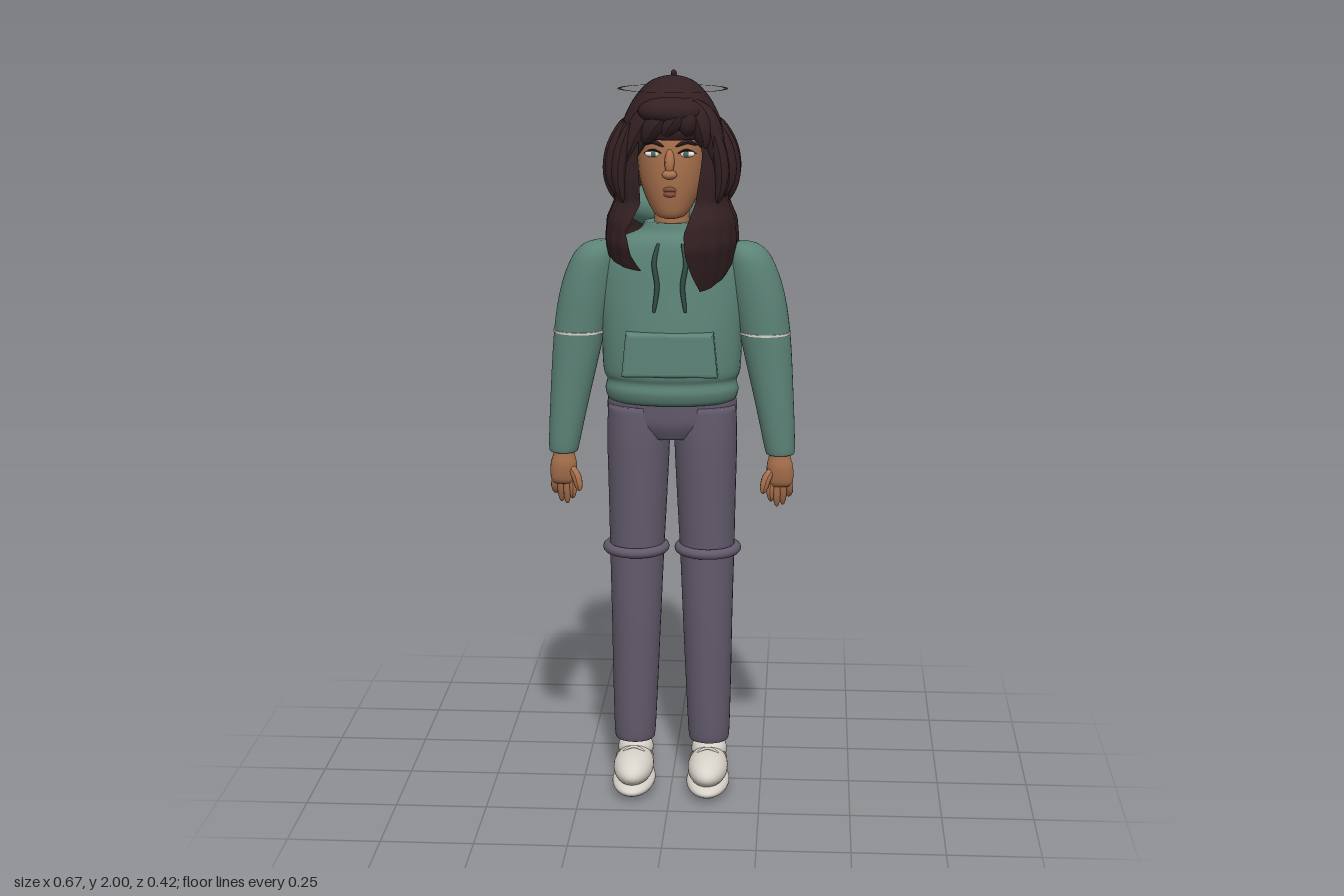
import * as THREE from 'three';

const mat = (name, color, side = THREE.FrontSide) => {
  const m = new THREE.MeshStandardMaterial({ color, side });
  m.name = name;
  return m;
};

// Catmull-Rom sample of a table of rows, t in 0..1
function sample(rows, t) {
  const f = Math.min(t, 1) * (rows.length - 1), i = Math.min(Math.floor(f), rows.length - 2), u = f - i;
  const at = k => rows[Math.max(0, Math.min(rows.length - 1, k))];
  return rows[i].map((_, c) => {
    const a = at(i - 1)[c], b = at(i)[c], d = at(i + 1)[c], e = at(i + 2)[c];
    return b + 0.5 * u * (d - a + u * (2 * a - 5 * b + 4 * d - e + u * (3 * (b - d) + e - a)));
  });
}

// Linear lookup of a table keyed by its first column (descending)
function lookup(rows, y) {
  let i = 0;
  while (i < rows.length - 2 && y < rows[i + 1][0]) i++;
  const u = THREE.MathUtils.clamp((rows[i][0] - y) / (rows[i][0] - rows[i + 1][0]), 0, 1);
  return rows[i].map((v, c) => v + (rows[i + 1][c] - v) * u);
}

function gridGeometry(position, index) {
  const g = new THREE.BufferGeometry();
  g.setAttribute('position', new THREE.Float32BufferAttribute(position, 3));
  g.setIndex(index);
  g.computeVertexNormals();
  return g;
}

// Closed body from elliptical rings [y, cx, cz, rx, rz], listed upwards
function loft(rows, n = 36) {
  const p = [], idx = [], m = (rows.length - 1) * 4;
  for (let i = 0; i <= m; i++) {
    const [y, cx, cz, rx, rz] = sample(rows, i / m);
    for (let j = 0; j < n; j++) {
      const a = j / n * Math.PI * 2;
      p.push(cx + rx * Math.cos(a), y, cz + rz * Math.sin(a));
      const b = i * n + j, c = i * n + (j + 1) % n;
      if (i < m) idx.push(b, b + n, c, c, b + n, c + n);
    }
  }
  const first = rows[0], last = rows[rows.length - 1], k = p.length / 3;
  p.push(first[1], first[0], first[2], last[1], last[0], last[2]);
  for (let j = 0; j < n; j++) {
    const q = (j + 1) % n;
    idx.push(k, j, q, k + 1, m * n + q, m * n + j);
  }
  return gridGeometry(p, idx);
}

// Tube along points whose radius swells and tapers to rounded ends
function lock(points, radius, power = 0.5) {
  const curve = new THREE.CatmullRomCurve3(points.map(q => new THREE.Vector3(...q)));
  const seg = 20, rad = 10, g = new THREE.TubeGeometry(curve, seg, radius, rad);
  const pos = g.attributes.position, v = new THREE.Vector3();
  for (let i = 0; i <= seg; i++) {
    const c = curve.getPointAt(i / seg), s = Math.max(0.02, Math.sin(Math.PI * i / seg)) ** power;
    for (let j = 0; j <= rad; j++) {
      const k = i * (rad + 1) + j;
      v.fromBufferAttribute(pos, k).sub(c).multiplyScalar(s).add(c);
      pos.setXYZ(k, v.x, v.y, v.z);
    }
  }
  g.computeVertexNormals();
  return g;
}

// Long hair wrapped around the head and shoulders, open at the front
function curtain() {
  const profile = [ // y, half width, front z, back z
    [1.90, 0.115, 0.14, -0.095], [1.82, 0.145, 0.155, -0.115], [1.72, 0.163, 0.165, -0.125],
    [1.66, 0.153, 0.17, -0.135], [1.61, 0.174, 0.21, -0.185], [1.55, 0.179, 0.222, -0.205],
    [1.48, 0.166, 0.2, -0.202], [1.39, 0.135, 0.17, -0.203]];
  const edge = [ // y, opening on the left, opening on the right
    [1.90, 0.08, 0.08], [1.78, 0.085, 0.082], [1.66, 0.068, 0.075], [1.59, 0.04, 0.115],
    [1.53, 0.045, 0.1], [1.48, 0.06, 0.065], [1.42, 0.085, 0.06]];
  const n = 96, m = 40, p = [], idx = [];
  for (let i = 0; i <= m; i++) for (let j = 0; j <= n; j++) {
    const u = j / n, back = Math.sin(Math.PI * u) ** 4;
    const end = THREE.MathUtils.lerp(1.43, 1.49, u);
    const sides = 0.05 * Math.sin(Math.PI * 2 * u) ** 2;
    const bottom = THREE.MathUtils.lerp(end, 1.43, back) + sides + 0.018 * back * Math.cos(u * 50);
    const y = 1.9 + (bottom - 1.9) * i / m;
    const [, rx, zf, zb] = lookup(profile, y), [, l, r] = lookup(edge, y);
    const a = THREE.MathUtils.lerp(Math.asin(l / rx), Math.PI * 2 - Math.asin(r / rx), u);
    const wave = 1 + 0.008 * Math.cos(a * 24);
    const c = Math.cos(a);
    p.push(rx * wave * Math.sin(a), y, 0.02 + (c > 0 ? zf - 0.02 : 0.02 - zb) * c * wave);
    const k = i * (n + 1) + j;
    if (i < m && j < n) idx.push(k, k + n + 1, k + 1, k + 1, k + n + 1, k + n + 2);
  }
  return gridGeometry(p, idx);
}

export function createModel() {
  const model = new THREE.Group();
  const hair = mat('dark brown hair', 0x332022, THREE.DoubleSide);
  const skin = mat('warm skin', 0xa9714d), lips = mat('lips', 0x874f3d);
  const knit = mat('green hoodie', 0x5c8377), cord = mat('dark green cord', 0x304a45);
  const cloth = mat('purple grey trousers', 0x625a6c), shoe = mat('off white shoe', 0xd8d3ca);
  const white = mat('eye white', 0xe8e8e2), iris = mat('grey green iris', 0x4e6b62);

  const add = (name, geometry, material, pos = [0, 0, 0], scale = [1, 1, 1]) => {
    const mesh = new THREE.Mesh(geometry, material);
    mesh.name = name;
    mesh.position.set(...pos);
    mesh.scale.set(...scale);
    model.add(mesh);
    return mesh;
  };
  const ball = (name, material, pos, radii) => add(name, new THREE.SphereGeometry(1, 32, 20), material, pos, radii);

  // Hoodie
  add('hoodieBody', loft([[1.11, 0, 0.03, 0.16, 0.09], [1.12, 0, 0.03, 0.175, 0.1], [1.145, 0, 0.032, 0.181, 0.106],
    [1.17, 0, 0.032, 0.176, 0.102], [1.2, 0, 0.033, 0.186, 0.11], [1.3, 0, 0.03, 0.191, 0.112],
    [1.42, 0, 0.022, 0.2, 0.106], [1.5, 0, 0.022, 0.188, 0.096], [1.55, 0, 0.022, 0.145, 0.085],
    [1.575, 0, 0.022, 0.09, 0.068], [1.6, 0, 0.025, 0.072, 0.058]]), knit);
  ball('hood', knit, [0, 1.625, -0.1], [0.14, 0.068, 0.093]);
  const pocket = new THREE.Shape();
  pocket.moveTo(-0.118, 1.205).lineTo(0.118, 1.205).lineTo(0.108, 1.305).lineTo(-0.108, 1.305).closePath();
  add('pocket', new THREE.ExtrudeGeometry(pocket, { depth: 0.05, bevelSize: 0.01, bevelThickness: 0.01, bevelSegments: 4 }),
    knit, [0, 0, 0.097]);
  for (const s of [-1, 1]) {
    add('drawstring', lock([[s * 0.032, 1.55, 0.105], [s * 0.042, 1.5, 0.123], [s * 0.034, 1.44, 0.13],
      [s * 0.042, 1.37, 0.138]], 0.007, 0.2), cord);
  }

  // Trousers
  add('hips', loft([[1.01, 0, 0.02, 0.1, 0.07], [1.05, 0, 0.02, 0.165, 0.088], [1.1, 0, 0.02, 0.177, 0.092], [1.15, 0, 0.025, 0.165, 0.09]]), cloth);

  for (const s of [-1, 1]) {
    add('trouserLeg', loft([[0.135, s * 0.104, 0.025, 0.05, 0.048], [0.15, s * 0.104, 0.025, 0.057, 0.056],
      [0.3, s * 0.102, 0.025, 0.063, 0.063], [0.5, s * 0.099, 0.025, 0.069, 0.07], [0.68, s * 0.097, 0.02, 0.075, 0.076],
      [0.85, s * 0.094, 0.02, 0.081, 0.082], [1, s * 0.092, 0.02, 0.086, 0.088], [1.1, s * 0.09, 0.02, 0.085, 0.085]]), cloth);
    add('kneeRing', new THREE.TorusGeometry(0.078, 0.014, 12, 40).rotateX(Math.PI / 2), cloth, [s * 0.099, 0.692, 0.025]);

    // Shoes with a bare ankle
    ball('shoeSole', shoe, [s * 0.104, 0.028, 0.077], [0.06, 0.028, 0.128]);
    ball('shoeUpper', shoe, [s * 0.104, 0.07, 0.085], [0.056, 0.045, 0.115]);
    ball('shoeHeel', shoe, [s * 0.104, 0.093, 0.005], [0.05, 0.045, 0.052]);
    ball('ankle', skin, [s * 0.104, 0.083, 0.045], [0.053, 0.012, 0.032]).rotation.x = 0.4;
    add('shoeLace', new THREE.TorusGeometry(0.034, 0.004, 8, 20, Math.PI), shoe, [s * 0.104, 0.086, 0.08]);

    // Sleeves
    add('sleeve', loft([[0.968, s * 0.295, 0.045, 0.035, 0.035], [0.98, s * 0.295, 0.045, 0.041, 0.041],
      [1.1, s * 0.28, 0.04, 0.052, 0.05], [1.3, s * 0.251, 0.03, 0.069, 0.064], [1.42, s * 0.229, 0.029, 0.071, 0.068],
      [1.5, s * 0.21, 0.028, 0.06, 0.064], [1.535, s * 0.197, 0.028, 0.042, 0.045], [1.547, s * 0.19, 0.028, 0.015, 0.018]]), knit);
    add('elbowTrim', new THREE.CylinderGeometry(0.071, 0.071, 0.006, 36), shoe, [s * 0.251, 1.3, 0.03], [1, 1, 0.94]);

    // Hands
    add('palm', loft([[0.875, s * 0.297, 0.046, 0.026, 0.014], [0.89, s * 0.297, 0.048, 0.035, 0.022],
      [0.93, s * 0.296, 0.048, 0.036, 0.029], [0.96, s * 0.295, 0.046, 0.029, 0.028], [0.98, s * 0.295, 0.045, 0.028, 0.028]], 20), skin);
    for (let i = 0; i < 4; i++) {
      const x = s * (0.273 + i * 0.0155), low = [0.832, 0.815, 0.818, 0.84][i];
      add('finger', lock([[x, 0.9, 0.05], [x + s * (i - 1.5) * 0.002, 0.86, 0.052 - i * 0.006], [x, low, 0.048 - i * 0.01]], 0.0105, 0.35), skin);
    }
    add('thumb', lock([[s * 0.28, 0.93, 0.055], [s * 0.26, 0.9, 0.068], [s * 0.25, 0.86, 0.075]], 0.013, 0.35), skin);

    // Eyes, brows, side locks and face-framing strands
    ball('eye', white, [s * 0.043, 1.79, 0.123], [0.023, 0.009, 0.008]);
    ball('iris', iris, [s * 0.043, 1.79, 0.127], [0.008, 0.0085, 0.006]);
    add('upperLid', lock([[s * 0.017, 1.79, 0.13], [s * 0.043, 1.801, 0.13], [s * 0.07, 1.79, 0.114]], 0.003), hair);
    add('brow', lock([[s * 0.015, 1.81, 0.133], [s * 0.045, 1.822, 0.127], [s * 0.072, 1.812, 0.11]], 0.006), hair);
    for (let i = 0; i < 6; i++) {
      const z = 0.115 - i * 0.037, x = s * 0.163 * Math.sqrt(1 - ((z - 0.02) / 0.165) ** 2);
      add('sideLock', lock([[x * 0.8, 1.87, z], [x * 0.98, 1.79, z], [x * 1.02, 1.72, z], [x * 0.94, 1.66 + (i % 2) * 0.015, z]], 0.02), hair);
    }
  }

  // Neck, head and face
  add('neck', new THREE.CylinderGeometry(0.043, 0.05, 0.14, 28), skin, [0, 1.62, 0.03]);
  add('head', loft([[1.615, 0, 0.075, 0.02, 0.025], [1.625, 0, 0.07, 0.042, 0.048], [1.66, 0, 0.05, 0.065, 0.078],
    [1.71, 0, 0.035, 0.084, 0.1], [1.77, 0, 0.028, 0.092, 0.108], [1.84, 0, 0.02, 0.095, 0.108], [1.9, 0, 0.02, 0.07, 0.08]]), skin);
  add('noseBridge', lock([[0, 1.805, 0.128], [0, 1.765, 0.142], [0, 1.735, 0.145]], 0.013), skin);
  ball('noseTip', skin, [0, 1.738, 0.145], [0.02, 0.013, 0.017]);
  add('upperLip', lock([[-0.03, 1.692, 0.115], [0, 1.698, 0.133], [0.03, 1.692, 0.115]], 0.007), lips);
  add('lowerLip', lock([[-0.025, 1.689, 0.115], [0, 1.684, 0.131], [0.025, 1.689, 0.115]], 0.008), lips);

  // Hair
  add('hairCap', loft([[1.828, 0, 0.02, 0.128, 0.126], [1.85, 0, 0.02, 0.135, 0.133], [1.89, 0, 0.02, 0.121, 0.128],
    [1.93, 0, 0.02, 0.098, 0.111], [1.965, 0, 0.02, 0.066, 0.075], [1.98, 0, 0.018, 0.035, 0.04], [1.986, 0, 0.015, 0.006, 0.006]]), hair);
  add('longHair', curtain(), hair);
  ball('crownTip', hair, [0.004, 1.99, 0.015], [0.008, 0.01, 0.008]);
  ball('fringeRoll', hair, [0, 1.9, 0.115], [0.085, 0.038, 0.055]);
  const fringe = [[0.06, -0.02, 1.835, 0.032], [0.05, -0.07, 1.82, 0.036], [0.04, -0.125, 1.75, 0.036],
    [0.03, 0.05, 1.835, 0.032], [0.04, 0.095, 1.8, 0.03], [0.05, 0.125, 1.74, 0.032]];
  for (const [x0, x1, y1, r] of fringe) {
    const z = 0.15 - 2.5 * x1 * x1;
    add('fringeLock', lock([[x0, 1.93, 0.1], [x0 * 0.4 + x1 * 0.6, 1.88, z - 0.012], [x1, y1, z - 0.012]], r), hair);
  }
  ball('bun', hair, [0, 1.872, -0.108], [0.04, 0.043, 0.036]);
  add('ponytail', lock([[0, 1.85, -0.12], [0, 1.8, -0.14], [0, 1.73, -0.15], [0, 1.65, -0.165]], 0.034, 0.4), hair);
  add('hairTie', new THREE.TorusGeometry(0.032, 0.007, 10, 28).rotateX(Math.PI / 2), skin, [0, 1.795, -0.14]);
  add('headRing', new THREE.RingGeometry(0.137, 0.147, 72).rotateX(-Math.PI / 2), hair, [0.001, 1.95, 0.01], [1, 1, 0.84]);

  return model;
}
